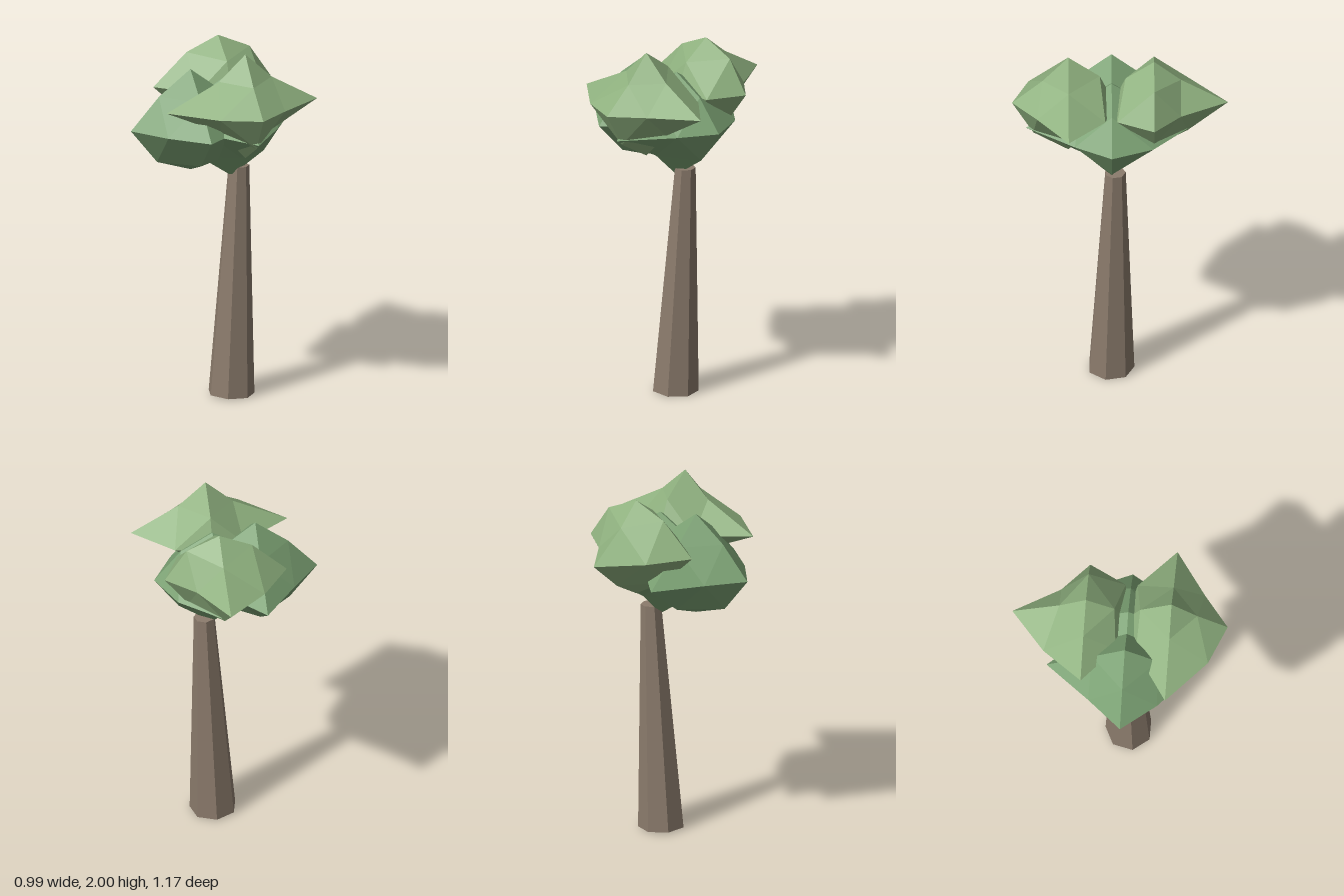
import * as THREE from 'three';

// Faceted leaf clump: an 18-point octahedral ball whose points are pushed out by different amounts.
// axis: reach along +x -x +y -y +z -z; xy, yz, zx: diagonal offsets for signs ++ -+ +- --
function leafClump({ name, color, center, axis, xy, yz, zx }) {
  const geo = new THREE.OctahedronGeometry(1, 1);
  const pos = geo.attributes.position;
  const sign = v => (Math.abs(v) < 0.1 ? 0 : Math.sign(v));
  const pick = (list, a, b) => list[(a > 0 ? 0 : 1) + (b > 0 ? 0 : 2)];
  for (let i = 0; i < pos.count; i++) {
    const x = sign(pos.getX(i)), y = sign(pos.getY(i)), z = sign(pos.getZ(i));
    let reach;
    if (x && y) reach = pick(xy, x, y);
    else if (y && z) reach = pick(yz, y, z);
    else if (z && x) reach = pick(zx, z, x);
    else if (x) reach = axis[x > 0 ? 0 : 1];
    else if (y) reach = axis[y > 0 ? 2 : 3];
    else reach = axis[z > 0 ? 4 : 5];
    pos.setXYZ(i, x * reach, y * reach, z * reach);
  }
  geo.computeVertexNormals();
  const mesh = new THREE.Mesh(geo, new THREE.MeshStandardMaterial({ color, flatShading: true }));
  mesh.name = name;
  mesh.position.set(...center);
  return mesh;
}

// Tapered seven-sided trunk, leaning towards +x
function trunk() {
  const bottom = { x: 0.075, z: 0.05 }, top = { x: 0.127, z: 0.027 }, height = 1.285;
  const geo = new THREE.CylinderGeometry(0.058, 0.128, height, 7, 1, false, Math.PI);
  const pos = geo.attributes.position;
  for (let i = 0; i < pos.count; i++) {
    const t = pos.getY(i) / height + 0.5;
    const tilt = -0.04 * pos.getX(i);
    pos.setXYZ(i,
      pos.getX(i) + THREE.MathUtils.lerp(bottom.x, top.x, t),
      0.006 + t * height + tilt,
      pos.getZ(i) + THREE.MathUtils.lerp(bottom.z, top.z, t));
  }
  geo.computeVertexNormals();
  const mesh = new THREE.Mesh(geo, new THREE.MeshStandardMaterial({ color: 0x8b7b6c, flatShading: true }));
  mesh.name = 'trunk';
  return mesh;
}

export function createModel() {
  const tree = new THREE.Group();
  tree.name = 'tree';
  tree.add(trunk());

  const light = 0x8fb17f, dark = 0x7ba173;
  const clumps = [
    { name: 'frontLeafClump', color: light, center: [0.08, 1.71, 0.28],
      axis: [0.41, 0.45, 0.29, 0.3, 0.305, 0.25],
      xy: [0.15, 0.15, 0.15, 0.14], yz: [0.14, 0.19, 0.17, 0.15], zx: [0.17, 0.2, 0.215, 0.18] },
    { name: 'backLeafClump', color: light, center: [0.08, 1.71, -0.185],
      axis: [0.3, 0.37, 0.26, 0.28, 0.22, 0.4],
      xy: [0.18, 0.18, 0.17, 0.18], yz: [0.155, 0.15, 0.145, 0.18], zx: [0.2, 0.145, 0.175, 0.215] },
    { name: 'sideLeafClump', color: dark, center: [-0.155, 1.55, 0.045],
      axis: [0.3, 0.34, 0.32, 0.25, 0.36, 0.425],
      xy: [0.18, 0.18, 0.2, 0.19], yz: [0.18, 0.18, 0.18, 0.18], zx: [0.2, 0.2, 0.19, 0.185] },
    { name: 'lowerLeafClump', color: dark, center: [0.08, 1.55, 0.045],
      axis: [0.32, 0.3, 0.28, 0.31, 0.465, 0.425],
      xy: [0.175, 0.175, 0.185, 0.185], yz: [0.17, 0.16, 0.17, 0.16], zx: [0.2, 0.225, 0.2, 0.2] },
  ];
  for (const clump of clumps) tree.add(leafClump(clump));
  return tree;
}
